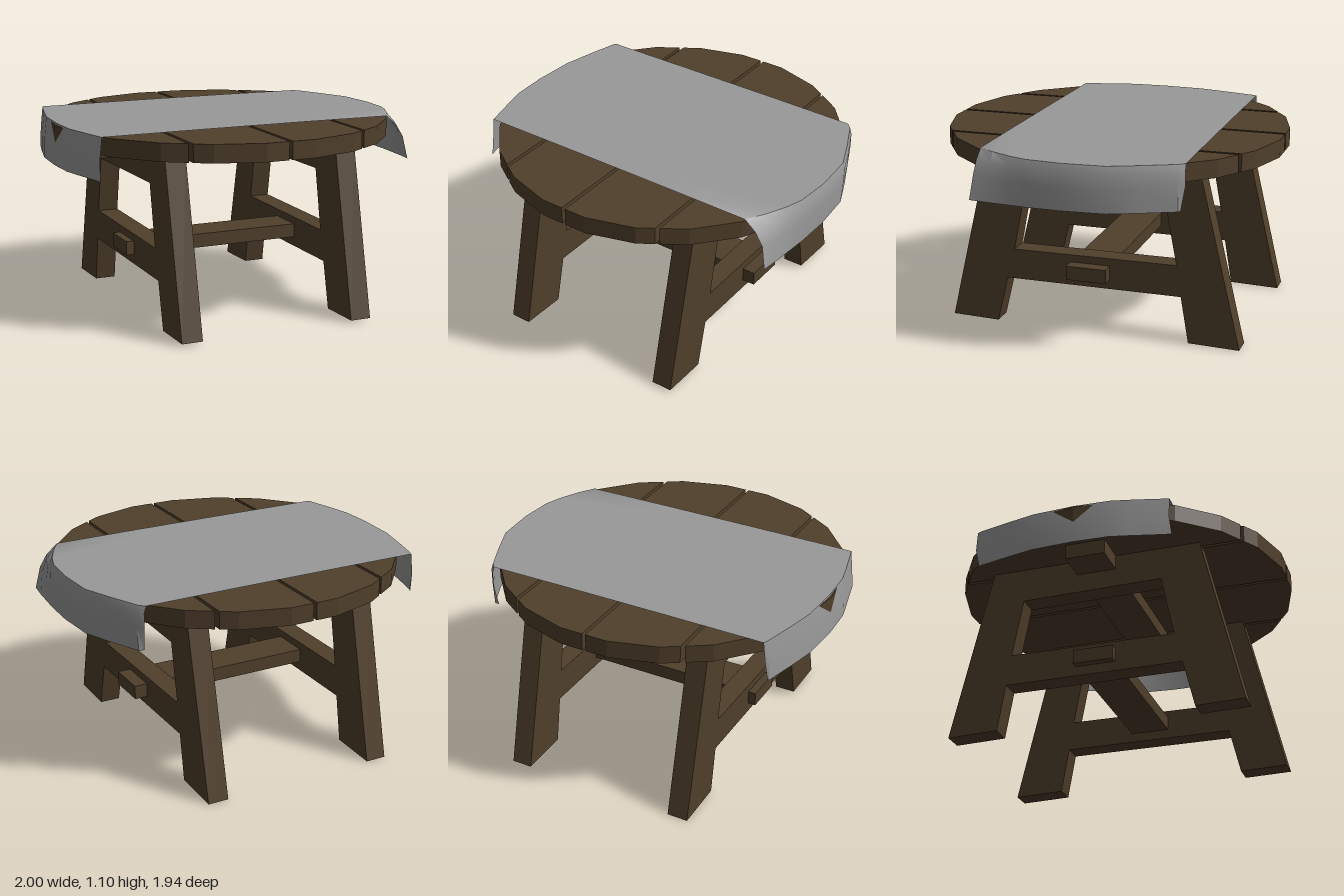
import * as THREE from 'three';
import { toCreasedNormals } from 'three/addons/utils/BufferGeometryUtils.js';

const wood = new THREE.MeshStandardMaterial({ color: 0x503f2b });
wood.name = 'dark wood';
const linen = new THREE.MeshStandardMaterial({ color: 0x999999, side: THREE.DoubleSide });
linen.name = 'grey linen';

const toShape = (pts) => new THREE.Shape(pts.map(([a, b]) => new THREE.Vector2(a, b)));

function add(group, name, geometry, material) {
  const mesh = new THREE.Mesh(geometry, material);
  mesh.name = name;
  group.add(mesh);
  return mesh;
}

function addBeam(group, name, [x0, x1], [y0, y1], [z0, z1]) {
  const mesh = add(group, name, new THREE.BoxGeometry(x1 - x0, y1 - y0, z1 - z0), wood);
  mesh.position.set((x0 + x1) / 2, (y0 + y1) / 2, (z0 + z1) / 2);
}

// Round top: a 22-sided disc sawn into four planks
const RADIUS = 0.98, SIDES = 22, CENTRE_X = -0.0125;
const rim = [];
for (let k = 0; k <= SIDES / 2; k++) {
  const a = -Math.PI / 2 + (k * 2 * Math.PI) / SIDES;
  rim.push([CENTRE_X + RADIUS * Math.sin(a), RADIUS * Math.cos(a)]);
}

function rimDepth(x) {
  for (let i = 0; i < rim.length - 1; i++) {
    const [xa, za] = rim[i], [xb, zb] = rim[i + 1];
    if (x >= xa && x <= xb) return za + ((zb - za) * (x - xa)) / (xb - xa);
  }
  return 0;
}

function addPlank(group, x0, x1) {
  const edge = [[x0, rimDepth(x0)], ...rim.filter(([x]) => x > x0 && x < x1), [x1, rimDepth(x1)]];
  const outline = [...edge, ...edge.slice().reverse().map(([x, z]) => [x, -z])]
    .filter(([x, z], i, all) => {
      const [px, pz] = all[(i + all.length - 1) % all.length];
      return Math.hypot(x - px, z - pz) > 1e-5;
    });
  const geometry = new THREE.ExtrudeGeometry(toShape(outline), { depth: 0.1, bevelEnabled: false });
  geometry.rotateX(-Math.PI / 2);
  add(group, 'topPlank', geometry, wood).position.y = 0.99;
}

// Trestle end: splayed legs with a top rail and a low rail
function addTrestle(group, name, x) {
  const outline = toShape([
    [0.825, 0.015], [0.595, 0.99], [-0.635, 0.99], [-0.87, 0.0], [-0.58, 0.008],
    [-0.535, 0.275], [0.485, 0.275], [0.55, 0.008],
  ]);
  outline.holes.push(new THREE.Path(
    [[0.44, 0.45], [0.37, 0.8], [-0.445, 0.79], [-0.508, 0.455]].map(([z, y]) => new THREE.Vector2(z, y))
  ));
  const geometry = new THREE.ExtrudeGeometry(outline, { depth: 0.12, bevelEnabled: false });
  geometry.rotateY(-Math.PI / 2);
  add(group, name, geometry, wood).position.x = x + 0.06;
}

// Cloth runner: cross-sections along z, with hanging ends that follow the rim
function runnerGeometry() {
  // z, left edge x, right edge x, softness of the right fold
  const sections = [
    [-0.615, -0.893, 0.80, 0], [-0.585, -0.905, 0.83, 0], [-0.41, -0.948, 0.91, 0],
    [-0.24, -0.985, 0.98, 0], [0, -0.998, 1.0, 0.03], [0.2, -0.99, 0.995, 0.12],
    [0.3, -0.968, 0.985, 0.3], [0.42, -0.938, 0.972, 0.65], [0.517, -0.912, 0.955, 1],
  ];
  const positions = [], index = [];
  const columns = 9;
  sections.forEach(([z, left, right, soft], row) => {
    const start = right - 0.012 - 0.125 * soft;
    const zHem = z + (row === 0 ? 0.025 : row === sections.length - 1 ? 0.015 : 0);
    const profile = [
      [left, 0.865, zHem], [left + 0.004, 0.98, z], [left + 0.018, 1.1, z],
      [-0.3, 1.102, z], [0.3, 1.102, z], [start, 1.1, z],
      [right - 0.07 * soft, 1.06 - 0.015 * soft, z],
      [right - 0.025 * soft, 0.975, z],
      [right - 0.008 + 0.01 * soft, 0.845, zHem],
    ];
    profile.forEach((p) => positions.push(...p));
    if (row === 0) return;
    for (let c = 0; c < columns - 1; c++) {
      const a = (row - 1) * columns + c, b = a + columns;
      index.push(a, b, a + 1, b, b + 1, a + 1);
    }
  });
  const geometry = new THREE.BufferGeometry();
  geometry.setAttribute('position', new THREE.Float32BufferAttribute(positions, 3));
  geometry.setIndex(index);
  return toCreasedNormals(geometry, 0.85);
}

export function createModel() {
  const model = new THREE.Group();
  model.name = 'roundTrestleTable';

  // Planks with narrow gaps between them
  const top = new THREE.Group();
  top.name = 'tableTop';
  const cuts = [CENTRE_X - RADIUS + 1e-6, -0.52, -0.015, 0.49, CENTRE_X + RADIUS - 1e-6];
  for (let i = 0; i < 4; i++) {
    addPlank(top, cuts[i] + (i > 0 ? 0.01 : 0), cuts[i + 1] - (i < 3 ? 0.01 : 0));
  }
  model.add(top);

  addTrestle(model, 'rightTrestle', -0.515);
  addTrestle(model, 'leftTrestle', 0.505);

  // Long beams pass through both trestles
  addBeam(model, 'upperBeam', [-0.77, 0.785], [0.905, 0.99], [-0.125, 0.105]);
  addBeam(model, 'lowerStretcher', [-0.62, 0.64], [0.33, 0.41], [-0.125, 0.105]);

  add(model, 'clothRunner', runnerGeometry(), linen);
  return model;
}
